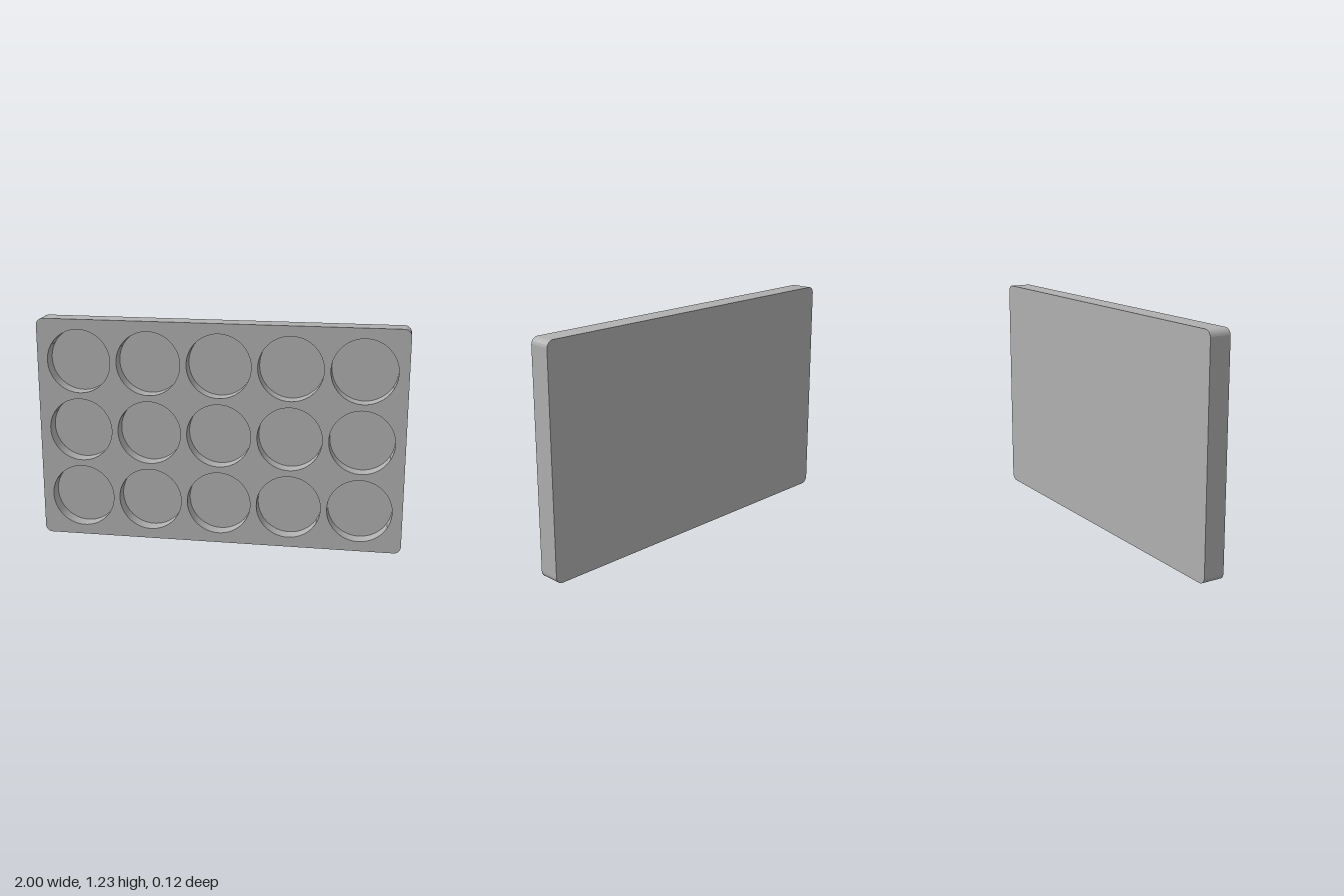
import * as THREE from 'three';
import { toCreasedNormals } from 'three/addons/utils/BufferGeometryUtils.js';

const UNIT = 2 / 5.2;            // spacing between pocket centres
const W = 5.2 * UNIT;
const H = 3.2 * UNIT;
const DEPTH = 0.3 * UNIT;
const FLOOR = 0.09 * UNIT;       // thickness left behind the pockets
const CORNER = 0.1 * UNIT;
const POCKET_RADIUS = 0.175;
const COLUMNS = 5, ROWS = 3;

// Rectangle outline with rounded corners, standing on y = 0
function outline() {
  const s = new THREE.Shape();
  const x = W / 2 - CORNER, top = H - CORNER, q = Math.PI / 2;
  s.absarc(x, CORNER, CORNER, -q, 0);
  s.absarc(x, top, CORNER, 0, q);
  s.absarc(-x, top, CORNER, q, 2 * q);
  s.absarc(-x, CORNER, CORNER, 2 * q, 3 * q);
  s.closePath();
  return s;
}

// Straight extrusion with smooth curved walls and sharp rims
function slab(name, shape, z, depth, material) {
  const extruded = new THREE.ExtrudeGeometry(shape, { depth, bevelEnabled: false, curveSegments: 48 });
  const mesh = new THREE.Mesh(toCreasedNormals(extruded, Math.PI / 6), material);
  mesh.name = name;
  mesh.position.z = z;
  return mesh;
}

export function createModel() {
  const group = new THREE.Group();
  group.name = 'pocketTray';
  const grey = new THREE.MeshStandardMaterial({ color: 0xb0b0b0 });
  grey.name = 'grey';

  // Front layer pierced by the grid of round pockets
  const face = outline();
  for (let r = 0; r < ROWS; r++) {
    for (let c = 0; c < COLUMNS; c++) {
      const x = (c - (COLUMNS - 1) / 2) * UNIT;
      const y = H / 2 + (r - (ROWS - 1) / 2) * UNIT;
      const hole = new THREE.Path();
      hole.absarc(x, y, POCKET_RADIUS, 0, Math.PI * 2, true);
      face.holes.push(hole);
    }
  }
  group.add(slab('pocketLayer', face, -DEPTH / 2 + FLOOR, DEPTH - FLOOR, grey));

  // Solid back that closes the pockets
  group.add(slab('backPlate', outline(), -DEPTH / 2, FLOOR, grey));
  return group;
}
